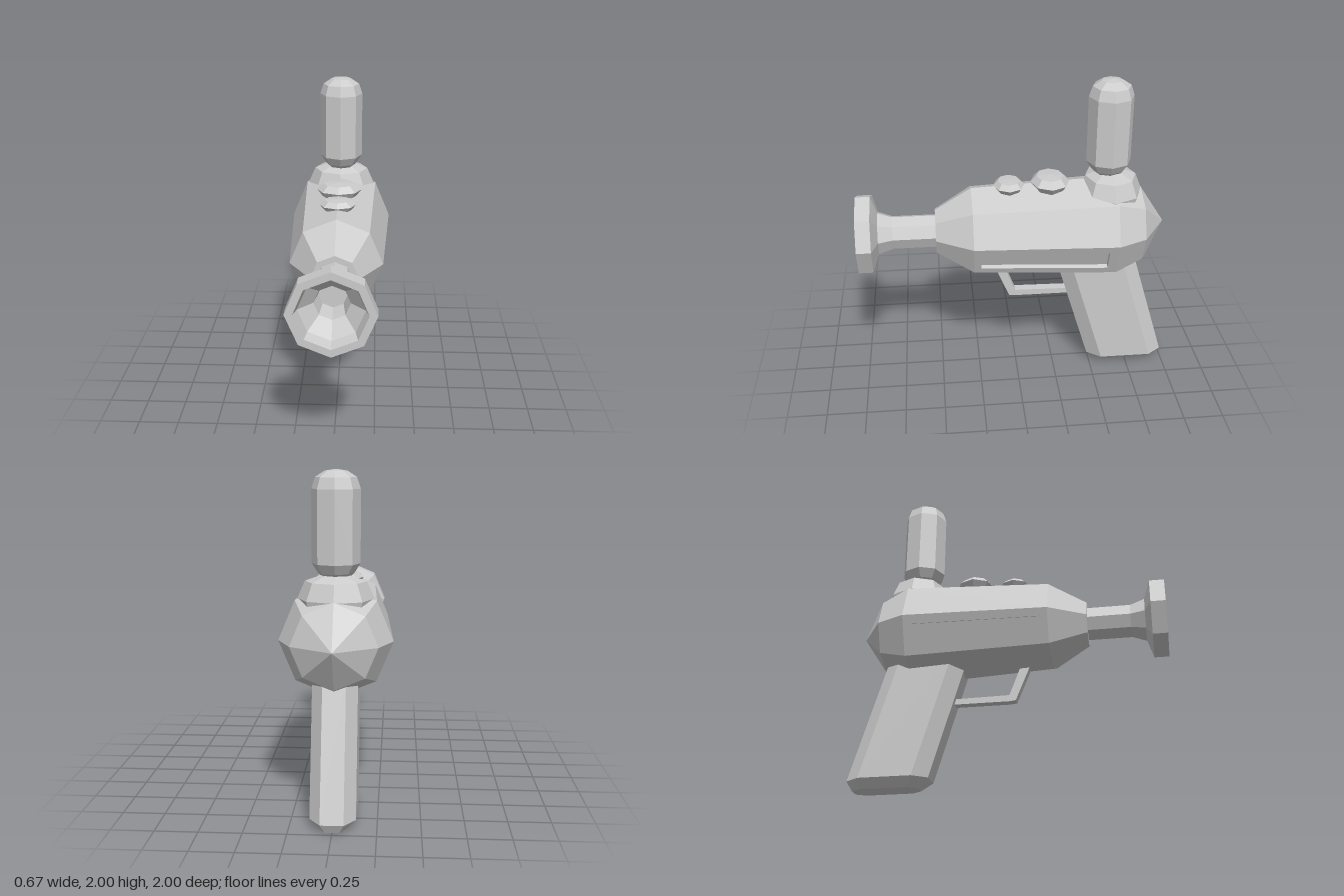
import * as THREE from 'three';

const AXIS_Y = 1.025; // height of the barrel axis
const material = new THREE.MeshStandardMaterial({ color: 0xcccccc, flatShading: true });

function part(name, geometry) {
  const flat = geometry.index ? geometry.toNonIndexed() : geometry;
  flat.computeVertexNormals();
  const mesh = new THREE.Mesh(flat, material);
  mesh.name = name;
  return mesh;
}

// Eight-sided turned solid; profile is a list of [radius, height].
const turned = (profile) =>
  new THREE.LatheGeometry(profile.map(([r, y]) => new THREE.Vector2(r, y)), 8);

// Collects quads (corners counter-clockwise from outside) into one geometry.
function quadBuilder() {
  const points = [];
  return {
    quad(a, b, c, d) {
      if (!a.equals(b)) points.push(a, b, c);
      points.push(a, c, d);
    },
    geometry: () => new THREE.BufferGeometry().setFromPoints(points),
  };
}

// Octagonal body with a recessed panel in each lower side face.
function bodyGeometry() {
  const { quad, geometry } = quadBuilder();
  const stations = [[-0.96, 0], [-0.8, 0.25], [-0.62, 0.333], [0.28, 0.288], [0.51, 0.146], [0.51, 0.09]];
  const point = ([z, r], k) => {
    const a = (k * Math.PI) / 4;
    return new THREE.Vector3(r * Math.cos(a), AXIS_Y + r * Math.sin(a), z);
  };
  const slots = { 4: [0.23, 0.81], 7: [0.19, 0.77] };
  for (let s = 0; s < stations.length - 1; s++) {
    for (let k = 0; k < 8; k++) {
      const [rear, front] = [stations[s], stations[s + 1]];
      const outer = [point(rear, k), point(rear, k + 1), point(front, k + 1), point(front, k)];
      if (s !== 2 || !slots[k]) {
        quad(...outer);
        continue;
      }
      // Frame, walls and floor of the recess
      const [u0, u1] = slots[k];
      const at = (u, v) => outer[0].clone().lerp(outer[1], u).lerp(outer[3].clone().lerp(outer[2], u), v);
      const rim = [at(u0, 0.065), at(u1, 0.065), at(u1, 0.95), at(u0, 0.95)];
      const mid = ((k + 0.5) * Math.PI) / 4;
      const inward = new THREE.Vector3(-Math.cos(mid), -Math.sin(mid), 0).multiplyScalar(0.028);
      const floor = rim.map((p) => p.clone().add(inward));
      for (let j = 0; j < 4; j++) {
        const n = (j + 1) % 4;
        quad(outer[j], outer[n], rim[n], rim[j]);
        quad(rim[j], rim[n], floor[n], floor[j]);
      }
      quad(...floor);
    }
  }
  return geometry();
}

// Slanted grip: chamfered rectangle sections stacked from bottom to top.
function gripGeometry() {
  const { quad, geometry } = quadBuilder();
  // [y, front z, rear z, half width, chamfer along z, chamfer along x]
  const sections = [
    [0, -0.555, -0.968, 0.075, 0.06, 0.035],
    [0.055, -0.485, -0.997, 0.132, 0.09, 0.065],
    [0.86, -0.243, -0.757, 0.132, 0.09, 0.065],
  ].map(([y, f, b, w, cz, cx]) =>
    [[w - cx, f], [w, f - cz], [w, b + cz], [w - cx, b], [cx - w, b], [-w, b + cz], [-w, f - cz], [cx - w, f]]
      .map(([x, z]) => new THREE.Vector3(x, y, z)));
  for (let s = 0; s < 2; s++) {
    for (let k = 0; k < 8; k++) {
      const n = (k + 1) % 8;
      quad(sections[s][k], sections[s][n], sections[s + 1][n], sections[s + 1][k]);
    }
  }
  // End caps
  const [bottom, , top] = sections;
  for (const k of [0, 1, 2]) {
    quad(bottom[7 - k], bottom[6 - k], bottom[k + 1], bottom[k]);
    quad(top[k], top[k + 1], top[6 - k], top[7 - k]);
  }
  return geometry();
}

// Trigger guard: side outline (z, y) extruded across x.
function guardGeometry() {
  const outline = [[0.14, 0.76], [0.045, 0.53], [0, 0.525], [-0.38, 0.525], [-0.38, 0.56], [0.005, 0.566], [0.08, 0.76]];
  const shape = new THREE.Shape(outline.map(([z, y]) => new THREE.Vector2(-z, y)));
  return new THREE.ExtrudeGeometry(shape, { depth: 0.06, bevelEnabled: false })
    .translate(0, 0, -0.03)
    .rotateY(Math.PI / 2);
}

export function createModel() {
  const group = new THREE.Group();

  group.add(part('body', bodyGeometry()));

  // Barrel with flared, hollow muzzle
  const barrel = turned([
    [0.108, 0.48], [0.108, 0.78], [0.14, 0.87], [0.257, 0.908], [0.257, 1],
    [0.21, 1], [0.19, 0.93], [0.105, 0.84], [0.085, 0.72], [0, 0.72],
  ]);
  group.add(part('barrel', barrel.rotateX(Math.PI / 2).translate(0, AXIS_Y, 0)));

  // Knobs along the top: [z, radius, base y, height]
  for (const [z, r, y, h] of [[0.042, 0.116, 1.285, 0.077], [-0.217, 0.145, 1.285, 0.102]]) {
    const knob = turned([[r * 0.6, -0.03], [r * 0.7, 0], [r, h * 0.55], [r * 0.7, h * 0.93], [0, h]]);
    group.add(part('topKnob', knob.scale(1, 1, 0.85).translate(0, y, z)));
  }

  // Stepped collar under the canister
  const collar = turned([[0.2, 1.18], [0.222, 1.27], [0.178, 1.37], [0.08, 1.405], [0, 1.405]]);
  group.add(part('canisterCollar', collar.scale(1, 1, 0.9).translate(0, 0, -0.6)));

  const canister = turned([
    [0, 1.39], [0.085, 1.395], [0.105, 1.415], [0.14, 1.47], [0.14, 1.89],
    [0.118, 1.955], [0.065, 1.99], [0, 2],
  ]);
  group.add(part('canister', canister.translate(0, 0, -0.583)));

  group.add(part('grip', gripGeometry()));
  group.add(part('triggerGuard', guardGeometry()));
  return group;
}
